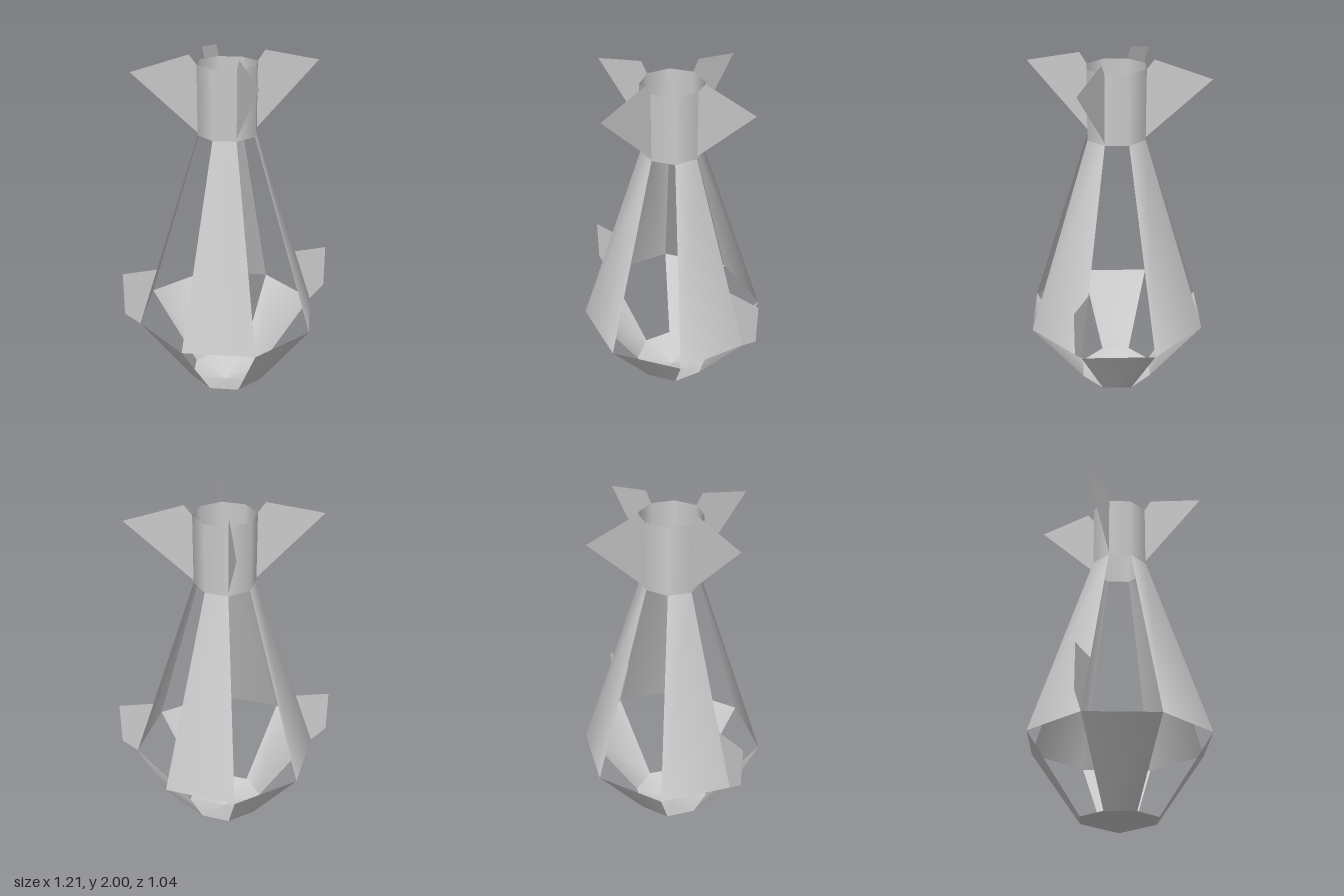
import * as THREE from 'three';

const SIDES = 8;
const STEP = (Math.PI * 2) / SIDES;

export function createModel() {
  const model = new THREE.Group();
  const material = new THREE.MeshStandardMaterial({ color: 0xcccccc, side: THREE.DoubleSide });

  const add = (name, geometry) => {
    const mesh = new THREE.Mesh(geometry, material);
    mesh.name = name;
    model.add(mesh);
    return mesh;
  };

  // Open octagonal band between two heights, covering whole sides from `first`
  const band = (name, rTop, yTop, rBottom, yBottom, first = 0, count = SIDES) => {
    const geometry = new THREE.CylinderGeometry(
      rTop, rBottom, yTop - yBottom, count, 1, true, first * STEP, count * STEP);
    geometry.translate(0, (yTop + yBottom) / 2, 0);
    return add(name, geometry);
  };

  // Thin fin drawn in the x-y plane, turned around the axis
  const fin = (name, points, angle) => {
    const shape = new THREE.Shape(points.map(([x, y]) => new THREE.Vector2(x, y)));
    add(name, new THREE.ShapeGeometry(shape)).rotation.y = angle;
  };

  // Open tail tube
  band('tailTube', 0.165, 1.945, 0.165, 1.57);

  // Body panels alternate: lower ones on even sides, upper ones on odd sides
  for (let i = 0; i < SIDES; i += 2) {
    band('lowerPanel', 0.52, 0.48, 0.218, 0.065, i, 1);
    band('upperPanel', 0.165, 1.57, 0.52, 0.48, i + 1, 1);
  }

  // Shallow pointed nose
  const nose = new THREE.ConeGeometry(0.218, 0.065, SIDES, 1, true);
  nose.rotateX(Math.PI).translate(0, 0.0325, 0);
  add('noseTip', nose);

  // Four swept tail fins
  const tailFin = [[0.165, 1.585], [0.51, 1.93], [0.205, 2], [0.165, 1.945]];
  for (let i = 0; i < 4; i++) fin('tailFin', tailFin, (i * Math.PI) / 2);

  // Two side fins on the widest part of the body
  const sideFin = [[0.52, 0.48], [0.605, 0.56], [0.605, 0.81], [0.412, 0.81]];
  for (const angle of [0, Math.PI]) fin('sideFin', sideFin, angle);

  return model;
}
